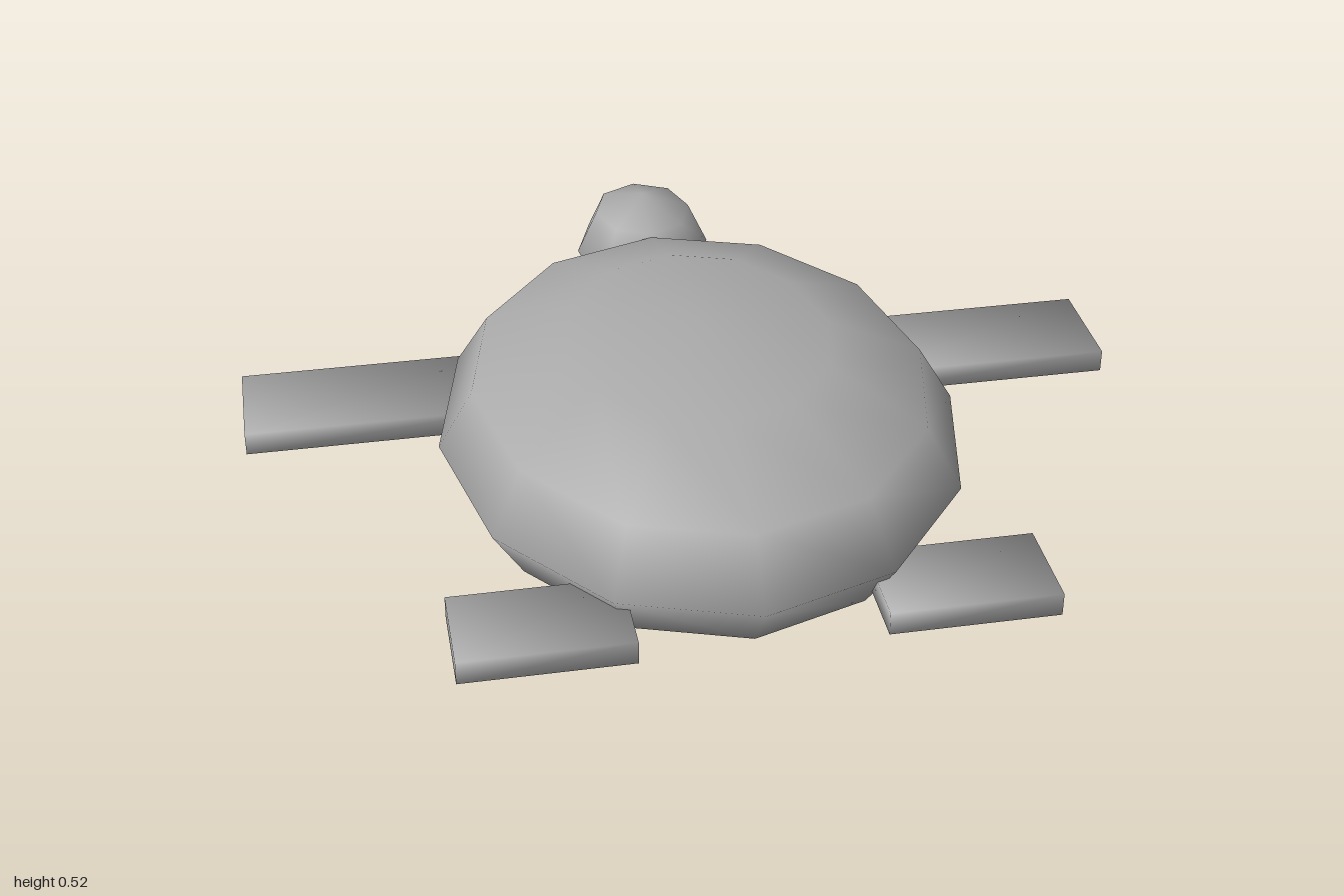
import * as THREE from 'three';

const skin = new THREE.MeshStandardMaterial({ color: 0xaaaaaa });
skin.name = 'grey';

// Low-poly smooth ellipsoid
function ellipsoid(name, sides, rings, radii, centre) {
  const geometry = new THREE.SphereGeometry(1, sides, rings);
  geometry.scale(...radii);
  const mesh = new THREE.Mesh(geometry, skin);
  mesh.name = name;
  mesh.position.set(...centre);
  return mesh;
}

// Flat box whose corners share one softened normal
function flipper(name, side, inner, outer, zMin, zMax) {
  const geometry = new THREE.BoxGeometry(outer - inner, 0.052, zMax - zMin);
  const { position, normal } = geometry.attributes;
  const n = new THREE.Vector3();
  for (let i = 0; i < position.count; i++) {
    n.fromBufferAttribute(position, i);
    n.set(Math.sign(n.x), Math.sign(n.y), Math.sign(n.z)).normalize();
    normal.setXYZ(i, n.x, n.y, n.z);
  }
  const mesh = new THREE.Mesh(geometry, skin);
  mesh.name = name;
  mesh.position.set(side * (inner + outer) / 2, 0.211, (zMin + zMax) / 2);
  return mesh;
}

export function createModel() {
  const turtle = new THREE.Group();
  turtle.name = 'turtle';

  // Shell and head
  turtle.add(ellipsoid('shell', 12, 6, [0.58, 0.26, 0.725], [0, 0.265, 0.115]));
  turtle.add(ellipsoid('head', 8, 4, [0.162, 0.145, 0.193], [0, 0.3, -0.65]));

  // Mirrored pairs of flippers
  for (const [label, side] of [['left', 1], ['right', -1]]) {
    turtle.add(flipper(label + 'LongFlipper', side, 0.4, 1, -0.305, -0.053));
    turtle.add(flipper(label + 'ShortFlipper', side, 0.255, 0.617, 0.625, 0.84));
  }
  return turtle;
}
